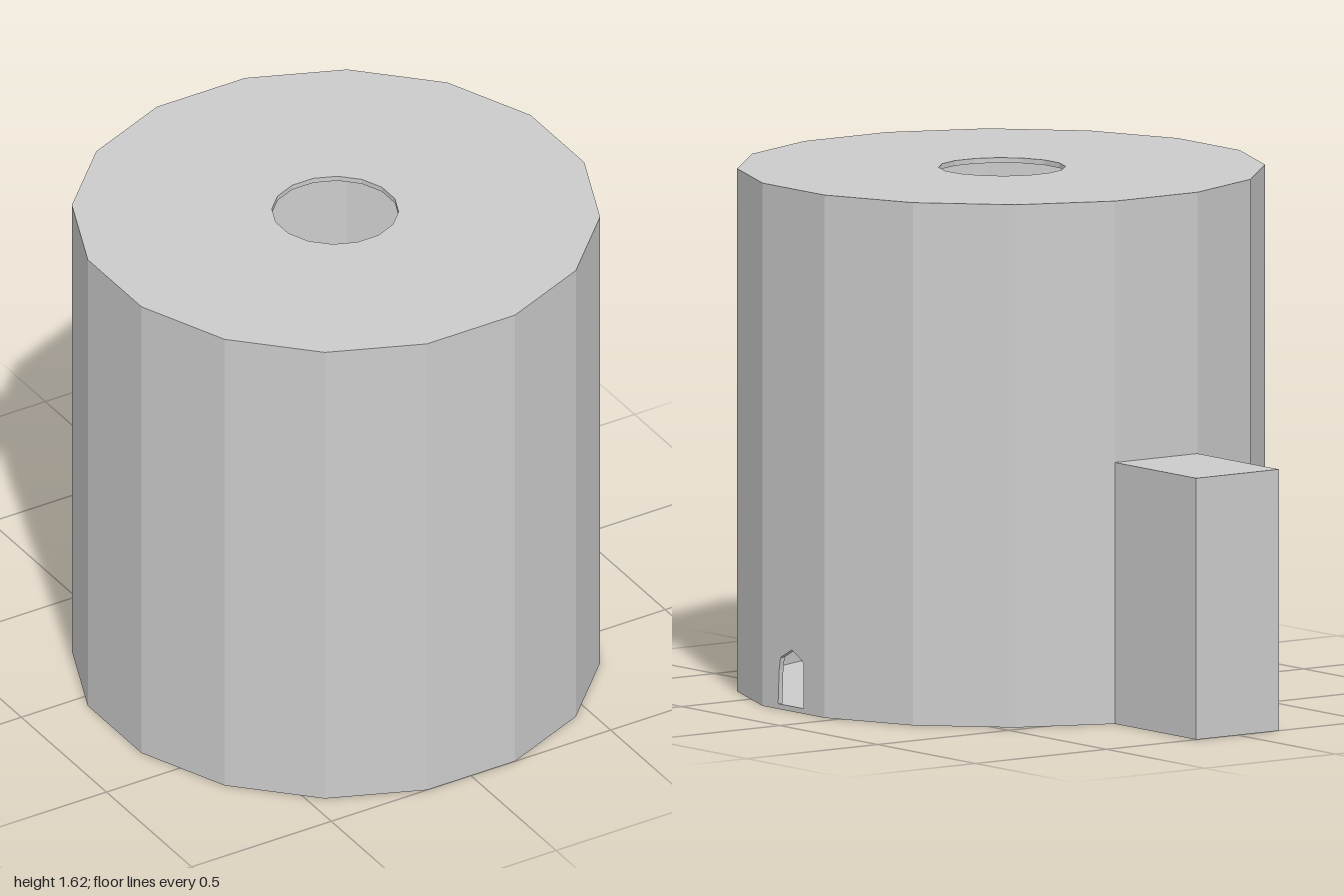
import * as THREE from 'three';

const SIDES = 16, R = 0.808, H = 1.615, T = 0.016, CZ = 0.2075;
const HALF = Math.PI / SIDES;
const APOTHEM = R * Math.cos(HALF);

function material(side = THREE.FrontSide) {
  return new THREE.MeshStandardMaterial({ color: 0xcccccc, flatShading: true, side });
}

// Regular polygon with flats facing the axes
function polygon(radius, cy = 0) {
  return Array.from({ length: SIDES }, (_, i) => {
    const a = HALF * (2 * i + 1);
    return new THREE.Vector2(radius * Math.cos(a), cy + radius * Math.sin(a));
  });
}

function slab(holeRadius) {
  const shape = new THREE.Shape(polygon(R));
  if (holeRadius) shape.holes.push(new THREE.Path(polygon(holeRadius, 0.0045).reverse()));
  return new THREE.ExtrudeGeometry(shape, { depth: T, bevelEnabled: false }).rotateX(-Math.PI / 2);
}

export function createModel() {
  const model = new THREE.Group();
  const add = (name, geometry, x, y, z, side) => {
    const mesh = new THREE.Mesh(geometry, material(side));
    mesh.name = name;
    mesh.position.set(x, y, z);
    model.add(mesh);
  };

  // Thin floor, and roof with a round opening
  add('floor', slab(), 0, 0, CZ);
  add('roof', slab(0.194), 0, H - T, CZ);

  // Hollow wall: every side except the one holding the doorway
  const wallH = H - 2 * T;
  const shell = (radius) => new THREE.CylinderGeometry(radius, radius, wallH, SIDES - 1, 1, true,
    Math.PI / 2 + HALF, 2 * Math.PI - 2 * HALF);
  add('outerWall', shell(R), 0, H / 2, CZ);
  add('innerWall', shell(R - T), 0, H / 2, CZ, THREE.BackSide);

  // Wall panel with a small pointed doorway
  const w = R * Math.sin(HALF);
  const panel = new THREE.Shape([
    [-w, T], [-0.078, T], [-0.073, 0.12], [-0.066, 0.16], [-0.008, 0.19],
    [0.04, 0.165], [0.052, 0.155], [0.052, T], [w, T], [w, H - T], [-w, H - T],
  ].map(([x, y]) => new THREE.Vector2(x, y)));
  const panelGeometry = new THREE.ExtrudeGeometry(panel, { depth: T, bevelEnabled: false });
  add('doorwayPanel', panelGeometry.rotateY(Math.PI / 2), APOTHEM - T, 0, CZ);

  // Block against the back wall, reaching slightly into it
  const back = -1, front = CZ - APOTHEM + 0.005;
  add('backBlock', new THREE.BoxGeometry(2 * w, H / 2, front - back), 0, H / 4, (front + back) / 2);

  return model;
}
